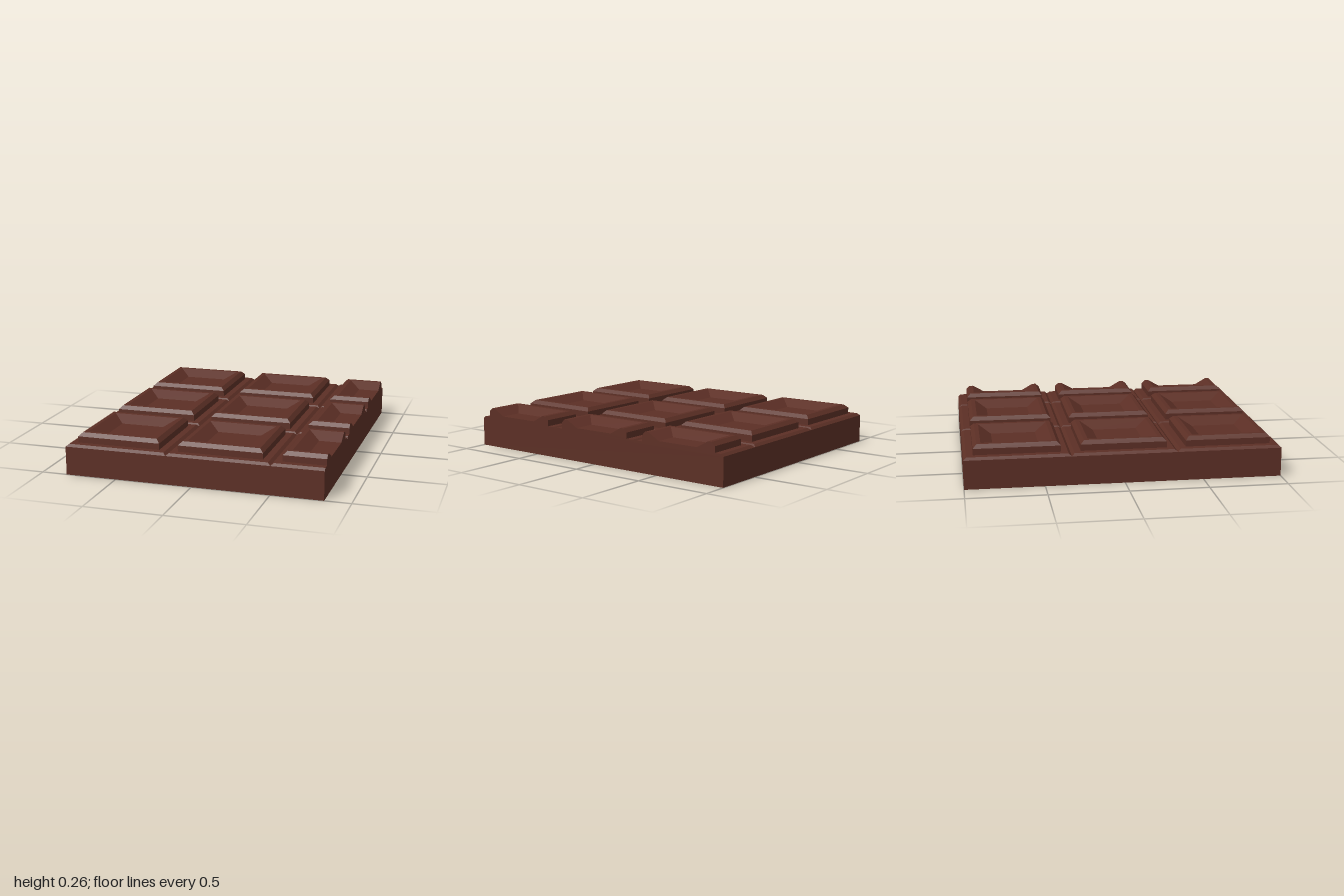
import * as THREE from 'three';

const PITCH = 2 / 3, WIDTH = 2.5 * PITCH, BASE = 0.185;

// Tile profile from groove to dish floor: [half size, height]
const PROFILE = [
  [PITCH / 2, BASE], [0.315, 0.2], [0.272, 0.2], [0.272, 0.24],
  [0.248, 0.263], [0.222, 0.263], [0.143, 0.218],
];

// Square rings joined in strips; a half tile stops at its centre line
function tileGeometry(half) {
  const pos = [];
  const quad = (a, b, c, d) => pos.push(...a, ...b, ...c, ...a, ...c, ...d);
  const rings = PROFILE.map(([h, y]) => {
    const r = half ? 0 : h;
    return [[-h, y, -h], [-h, y, h], [r, y, h], [r, y, -h]];
  });
  for (let k = 0; k < rings.length - 1; k++) {
    const a = rings[k], b = rings[k + 1];
    for (let i = 0; i < 4; i++) {
      if (half && i === 2) continue; // open at the cut
      const j = (i + 1) % 4;
      quad(a[i], a[j], b[j], b[i]);
    }
  }
  quad(...rings[rings.length - 1]); // dish floor
  const geo = new THREE.BufferGeometry();
  geo.setAttribute('position', new THREE.Float32BufferAttribute(pos, 3));
  geo.computeVertexNormals();
  return geo;
}

// Cross-section that closes the half tile
function cutGeometry() {
  const left = PROFILE.map(([h, y]) => new THREE.Vector2(-h, y));
  const right = PROFILE.map(([h, y]) => new THREE.Vector2(h, y)).reverse();
  return new THREE.ShapeGeometry(new THREE.Shape([...left, ...right])).rotateY(Math.PI / 2);
}

export function createModel() {
  const bar = new THREE.Group();
  bar.name = 'chocolateBar';
  const chocolate = new THREE.MeshStandardMaterial({ color: 0x5c2f25, flatShading: true });
  const add = (name, geo, x, y, z) => {
    const mesh = new THREE.Mesh(geo, chocolate);
    mesh.name = name;
    mesh.position.set(x, y, z);
    bar.add(mesh);
  };

  // Slab under the tiles
  add('base', new THREE.BoxGeometry(WIDTH, BASE, 2), 0, BASE / 2, 0);

  // Three rows: two whole tiles and one half tile each
  const whole = tileGeometry(false), half = tileGeometry(true), cut = cutGeometry();
  for (let row = -1; row <= 1; row++) {
    const z = row * PITCH;
    for (let col = 0; col < 3; col++) {
      const x = -WIDTH / 2 + (col + 0.5) * PITCH;
      add(col < 2 ? 'tile' : 'halfTile', col < 2 ? whole : half, x, 0, z);
    }
    add('cutFace', cut, WIDTH / 2, 0, z);
  }
  return bar;
}
